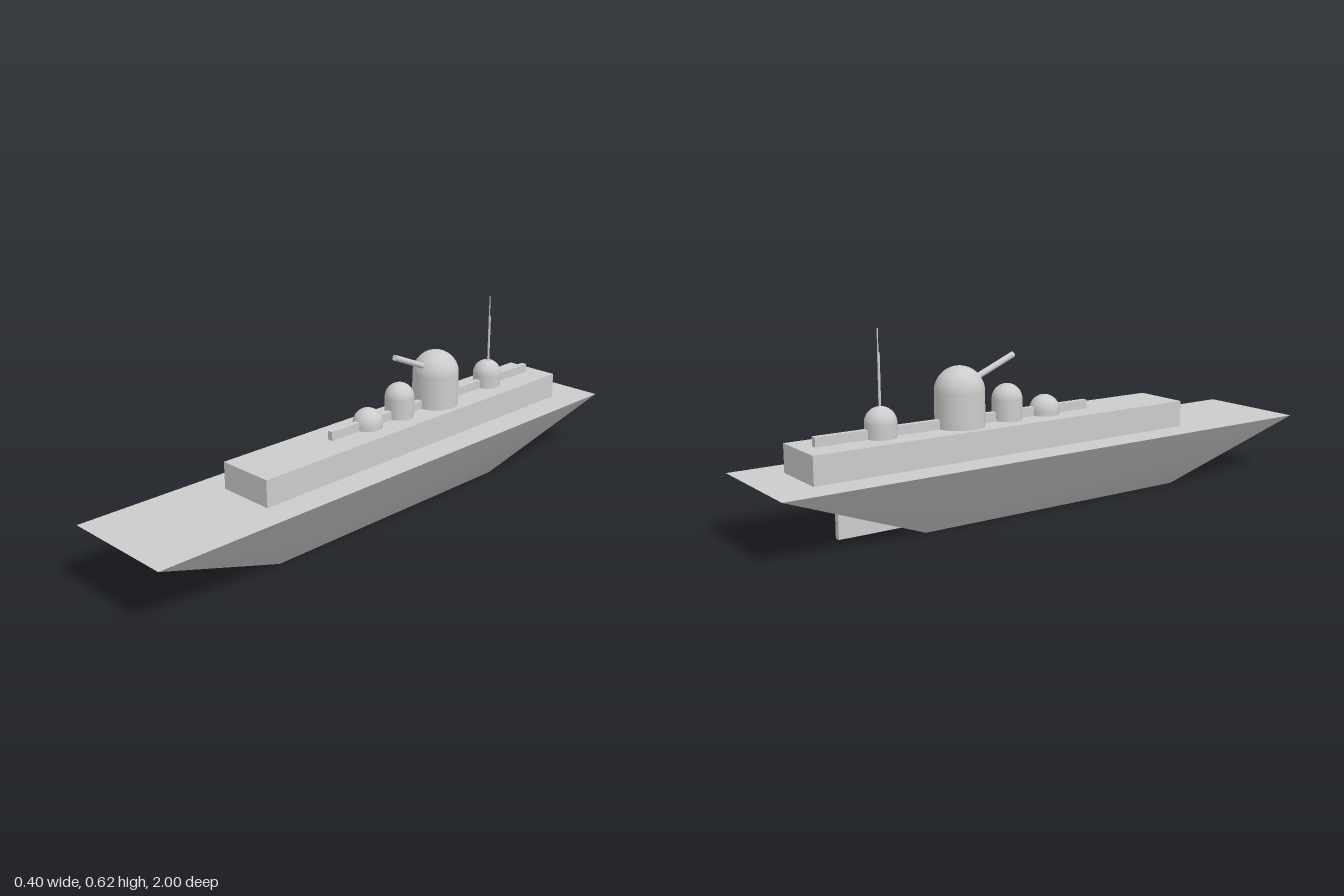
import * as THREE from 'three';

const grey = new THREE.MeshStandardMaterial({ color: 0xcccccc });

export function createModel() {
  const ship = new THREE.Group();
  ship.name = 'ship';

  const add = (name, geometry, x = 0, y = 0, z = 0) => {
    const mesh = new THREE.Mesh(geometry, grey);
    mesh.name = name;
    mesh.position.set(x, y, z);
    ship.add(mesh);
    return mesh;
  };

  // Box given by its width and its y and z ranges
  const box = (name, width, y0, y1, z0, z1) =>
    add(name, new THREE.BoxGeometry(width, y1 - y0, z1 - z0), 0, (y0 + y1) / 2, (z0 + z1) / 2);

  // Hull: tapered shell with normals shared across sides and bottom
  const ring = (hx, y, hz) => [hx, y, hz, hx, y, -hz, -hx, y, -hz, -hx, y, hz];
  const hull = new THREE.BufferGeometry();
  hull.setAttribute('position', new THREE.Float32BufferAttribute(
    [...ring(0.1, 0, 0.5), ...ring(0.2, 0.2, 1)], 3));
  const index = [0, 2, 1, 0, 3, 2];
  for (let i = 0; i < 4; i++) {
    const j = (i + 1) % 4;
    index.push(i, j, j + 4, i, j + 4, i + 4);
  }
  hull.setIndex(index);
  hull.computeVertexNormals();
  add('hull', hull);

  // Flat deck closing the hull
  add('deck', new THREE.PlaneGeometry(0.4, 2).rotateX(-Math.PI / 2), 0, 0.2, 0);

  box('superstructure', 0.2, 0.2, 0.29, -0.86, 0.54);
  box('spine', 0.02, 0.29, 0.32, -0.81, 0.19);
  box('rudder', 0.02, 0, 0.1, -0.745, -0.5);

  // Round turrets: a short cylinder wall under a hemisphere
  const dome = (name, radius, top, z) => {
    const wall = top - 0.29 - radius;
    const profile = [new THREE.Vector2(radius, 0)];
    for (let i = 0; i <= 16; i++) {
      const a = (i / 16) * Math.PI / 2;
      profile.push(new THREE.Vector2(i === 16 ? 0 : radius * Math.cos(a), wall + radius * Math.sin(a)));
    }
    add(name, new THREE.LatheGeometry(profile, 32), 0, 0.29, z);
  };
  dome('foreDome', 0.05, 0.356, 0.02);
  dome('middleDome', 0.05, 0.408, -0.13);
  dome('mainTurret', 0.08, 0.482, -0.31);
  dome('aftDome', 0.05, 0.385, -0.59);

  // Gun barrel rising forward from the main turret
  const from = new THREE.Vector3(0, 0.412, -0.31);
  const to = new THREE.Vector3(0, 0.5, -0.105);
  const along = to.clone().sub(from);
  const barrel = add('gunBarrel', new THREE.CylinderGeometry(0.01, 0.01, along.length(), 24));
  barrel.position.copy(from).add(to).multiplyScalar(0.5);
  barrel.quaternion.setFromUnitVectors(new THREE.Vector3(0, 1, 0), along.normalize());

  // Aerials on the aft dome
  const aerial = (name, radius, top, x, z) =>
    add(name, new THREE.CylinderGeometry(radius, radius, top - 0.35, 12), x, (top + 0.35) / 2, z);
  aerial('tallAerial', 0.002, 0.62, 0, -0.593);
  aerial('shortAerial', 0.004, 0.547, 0.006, -0.588);

  return ship;
}
